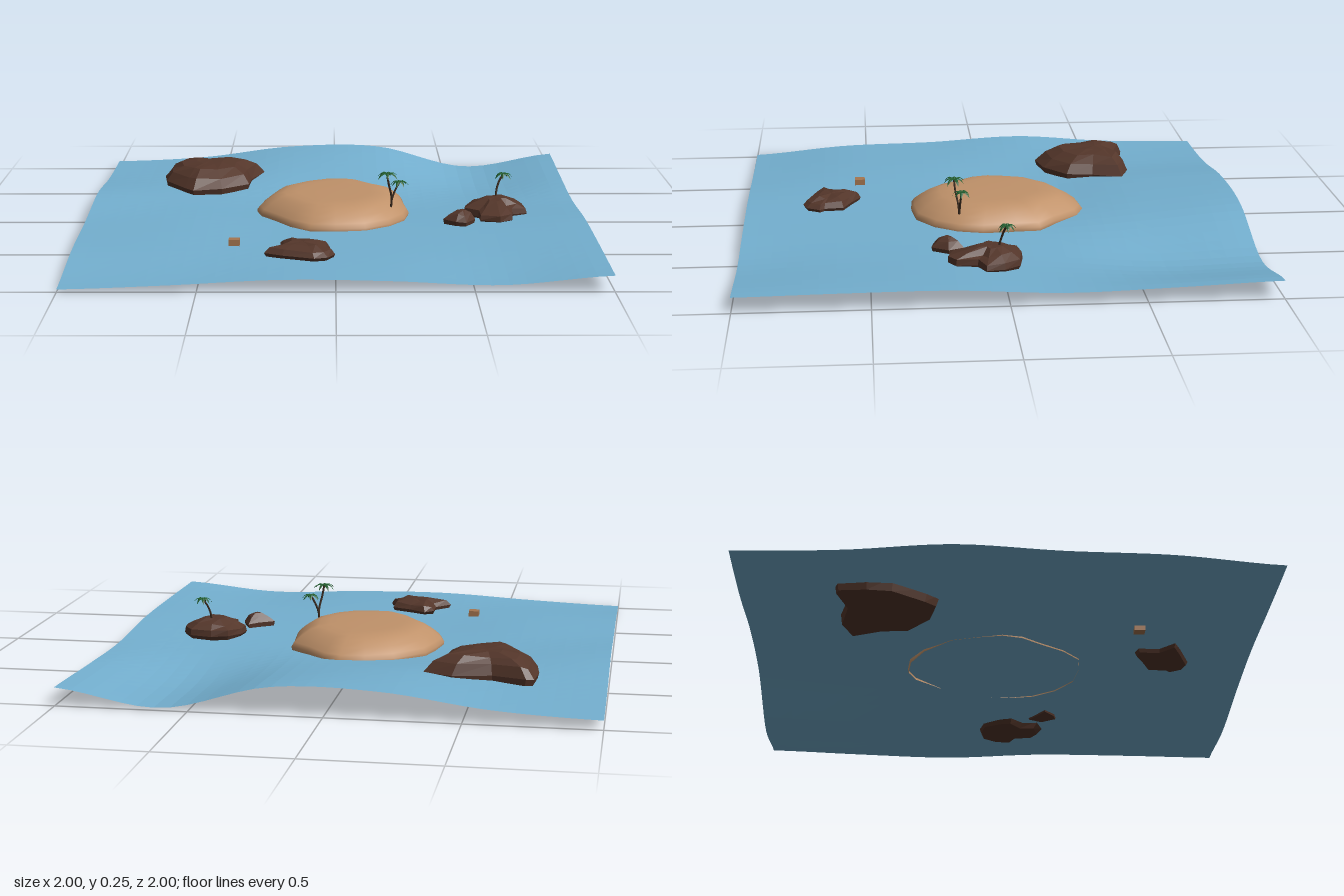
import * as THREE from 'three';

const V3 = (x, y, z) => new THREE.Vector3(x, y, z);
const mat = (color, extra = {}) => new THREE.MeshStandardMaterial({ color, ...extra });
const waterMat = mat(0x74b0d0, { side: THREE.DoubleSide, flatShading: true });
const sandMat = mat(0xc0926a, { side: THREE.DoubleSide });
const rockMat = mat(0x54362a, { flatShading: true });
const trunkMat = mat(0x3a2a1e);
const leafMat = mat(0x1f5a2c, { side: THREE.DoubleSide, flatShading: true });
const crateMat = mat(0xa5754f, { flatShading: true });

function mesh(name, geometry, material) {
  const m = new THREE.Mesh(geometry, material);
  m.name = name;
  return m;
}

// Coarse swell heights, rows from back to front, columns from -x to +x
const SWELL = [
  [.04, .06, .11, .11, .015, .075],
  [.05, .06, .09, .075, .005, .06],
  [.08, .06, .045, .045, .035, .05],
  [.06, .065, .05, .05, .055, .07],
  [.05, .055, .05, .05, .05, .07],
  [.015, .03, .05, .045, .03, .065],
];

// Smooth one-dimensional interpolation through evenly spaced values
function spline(a, t) {
  const n = a.length - 1, i = Math.min(Math.floor(t), n - 1), f = t - i;
  const p0 = a[Math.max(i - 1, 0)], p1 = a[i], p2 = a[i + 1], p3 = a[Math.min(i + 2, n)];
  return p1 + 0.5 * f * (p2 - p0 + f * (2 * p0 - 5 * p1 + 4 * p2 - p3 + f * (3 * (p1 - p2) + p3 - p0)));
}

function waterHeight(x, z) {
  const u = (x + 1) * 2.5, v = (z + 1) * 2.5;
  return Math.max(0, spline(SWELL.map(row => spline(row, u)), v));
}

function makeWater() {
  const geo = new THREE.PlaneGeometry(2, 2, 32, 32).rotateX(-Math.PI / 2);
  const p = geo.attributes.position;
  for (let i = 0; i < p.count; i++) p.setY(i, waterHeight(p.getX(i), p.getZ(i)));
  geo.computeVertexNormals();
  return mesh('water', geo, waterMat);
}

// Stacks shrinking copies of an outline; levels are [scale, y, jitter].
// The scale centre slides from the outline's middle towards peak.
function mound(outline, peak, levels, { closed = false, seed = 1 } = {}) {
  const n = outline.length, pos = [], index = [];
  let s = seed;
  const rand = () => { s = (s * 16807) % 2147483647; return s / 2147483647 - 0.5; };
  for (let i = 0; i < 9; i++) rand();
  for (const [scale, y, jitter = 0] of levels) {
    for (const [x, z] of outline) {
      const k = scale * (1 + jitter * rand());
      pos.push(peak[0] + (x - peak[0]) * k, y + 0.16 * jitter * rand(), peak[1] + (z - peak[1]) * k);
    }
  }
  for (let l = 0; l < levels.length - 1; l++) {
    for (let i = 0; i < n; i++) {
      const a = l * n + i, b = l * n + (i + 1) % n;
      index.push(a, a + n, b, b, a + n, b + n);
    }
  }
  // Top cap, and a flat base for closed stones
  const top = (levels.length - 1) * n, apex = pos.length / 3;
  pos.push(peak[0], levels.at(-1)[1] + 0.002, peak[1]);
  for (let i = 0; i < n; i++) index.push(top + i, apex, top + (i + 1) % n);
  if (closed) {
    const flat = outline.map(([x, z]) => new THREE.Vector2(x, z));
    for (const [a, b, c] of THREE.ShapeUtils.triangulateShape(flat, [])) index.push(a, b, c);
  }
  const geo = new THREE.BufferGeometry();
  geo.setAttribute('position', new THREE.Float32BufferAttribute(pos, 3));
  geo.setIndex(index);
  geo.computeVertexNormals();
  return geo;
}

// Outlines run from the back round by +x to the front, seen from above
const ISLAND = [[-.05, -.365], [.05, -.375], [.12, -.345], [.2, -.25], [.28, -.18], [.285, -.09], [.3, .05],
  [.28, .15], [.22, .24], [.12, .31], [0, .325], [-.1, .32], [-.18, .25], [-.24, .16], [-.3, .08],
  [-.32, 0], [-.3, -.1], [-.27, -.2], [-.16, -.31]];

const ROCKS = [
  { name: 'largeRock', peak: [-.54, -.5], seed: 11,
    outline: [[-.73, -.63], [-.7, -.64], [-.57, -.6], [-.42, -.63], [-.31, -.59], [-.36, -.47],
      [-.37, -.36], [-.48, -.27], [-.6, -.245], [-.64, -.29], [-.73, -.42], [-.74, -.52]],
    levels: [[.94, .03], [1, .08, .02], [.85, .12, .06], [.62, .146, .08], [.3, .157, .03]] },
  { name: 'palmRock', peak: [.65, .04], seed: 23,
    outline: [[.57, -.06], [.64, -.075], [.73, -.06], [.77, 0], [.78, .07], [.72, .1], [.71, .18],
      [.66, .21], [.58, .19], [.58, .12], [.52, .07], [.53, .02]],
    levels: [[.85, .03], [1, .06, .04], [.97, .083, .06], [.68, .1, .1], [.35, .12, .05]] },
  { name: 'smallRock', peak: [.505, .2], seed: 37,
    outline: [[.49, .17], [.53, .14], [.56, .2], [.52, .265], [.48, .255], [.43, .21]],
    levels: [[.9, .045], [1, .07, .04], [.65, .095, .08], [.25, .108]] },
  { name: 'frontRock', peak: [-.12, .65], seed: 53,
    outline: [[-.21, .54], [-.17, .53], [-.1, .565], [-.02, .6], [-.02, .68], [0, .7], [-.03, .75],
      [-.08, .765], [-.2, .72], [-.27, .69], [-.21, .63]],
    levels: [[.88, .035], [1, .063, .04], [.85, .083, .06], [.5, .095, .06]] },
];

// A drooping frond: a narrow folded strip that tapers at both ends
function frondGeometry(length) {
  const pos = [], index = [], steps = 4;
  for (let i = 0; i <= steps; i++) {
    const t = i / steps, w = 0.0075 * Math.sin(Math.PI * (0.12 + 0.86 * t));
    const x = length * t, y = 0.012 * Math.sin(t * 2.4) - 0.024 * t * t;
    pos.push(x, y - w * 0.4, -w, x, y, 0, x, y - w * 0.4, w);
    if (i === steps) break;
    for (const a of [i * 3, i * 3 + 1]) index.push(a, a + 1, a + 3, a + 1, a + 4, a + 3);
  }
  const geo = new THREE.BufferGeometry();
  geo.setAttribute('position', new THREE.Float32BufferAttribute(pos, 3));
  geo.setIndex(index);
  geo.computeVertexNormals();
  return geo;
}

function makePalm(name, path, reach, turn) {
  const palm = new THREE.Group();
  palm.name = name;
  const curve = new THREE.CatmullRomCurve3(path.map(p => V3(...p)));
  palm.add(mesh('trunk', new THREE.TubeGeometry(curve, 10, 0.0042, 6), trunkMat));
  const crown = new THREE.Group();
  crown.name = 'crown';
  crown.position.copy(curve.getPoint(1));
  for (let i = 0; i < 7; i++) {
    const frond = mesh('frond', frondGeometry(reach * (i % 2 ? 0.82 : 1)), leafMat);
    frond.rotation.y = turn + i * Math.PI * 2 / 7;
    crown.add(frond);
  }
  palm.add(crown);
  return palm;
}

export function createModel() {
  const model = new THREE.Group();
  model.name = 'islandScene';
  model.add(makeWater());

  // Sandy island, open underneath
  model.add(mesh('island', mound(ISLAND, [0, -.01],
    [[.99, .045], [1, .06], [.96, .077], [.87, .1], [.76, .122], [.65, .133], [.5, .137], [.25, .137]]), sandMat));

  for (const { name, outline, peak, levels, seed } of ROCKS) {
    model.add(mesh(name, mound(outline, peak, levels, { closed: true, seed }), rockMat));
  }

  // Two leaning palms on the beach and one on the rock
  model.add(makePalm('tallPalm', [[.225, .1, .14], [.226, .15, .145], [.215, .2, .155], [.207, .245, .16]], .05, .3));
  model.add(makePalm('shortPalm', [[.225, .1, .14], [.228, .135, .138], [.24, .17, .135], [.258, .205, .132]], .04, .8));
  model.add(makePalm('rockPalm', [[.66, .105, .02], [.66, .14, .01], [.67, .175, 0], [.688, .205, -.01]], .04, .1));

  // Floating crate
  const crate = mesh('crate', new THREE.BoxGeometry(.042, .042, .042), crateMat);
  crate.position.set(-.387, .056, .532);
  model.add(crate);
  return model;
}
